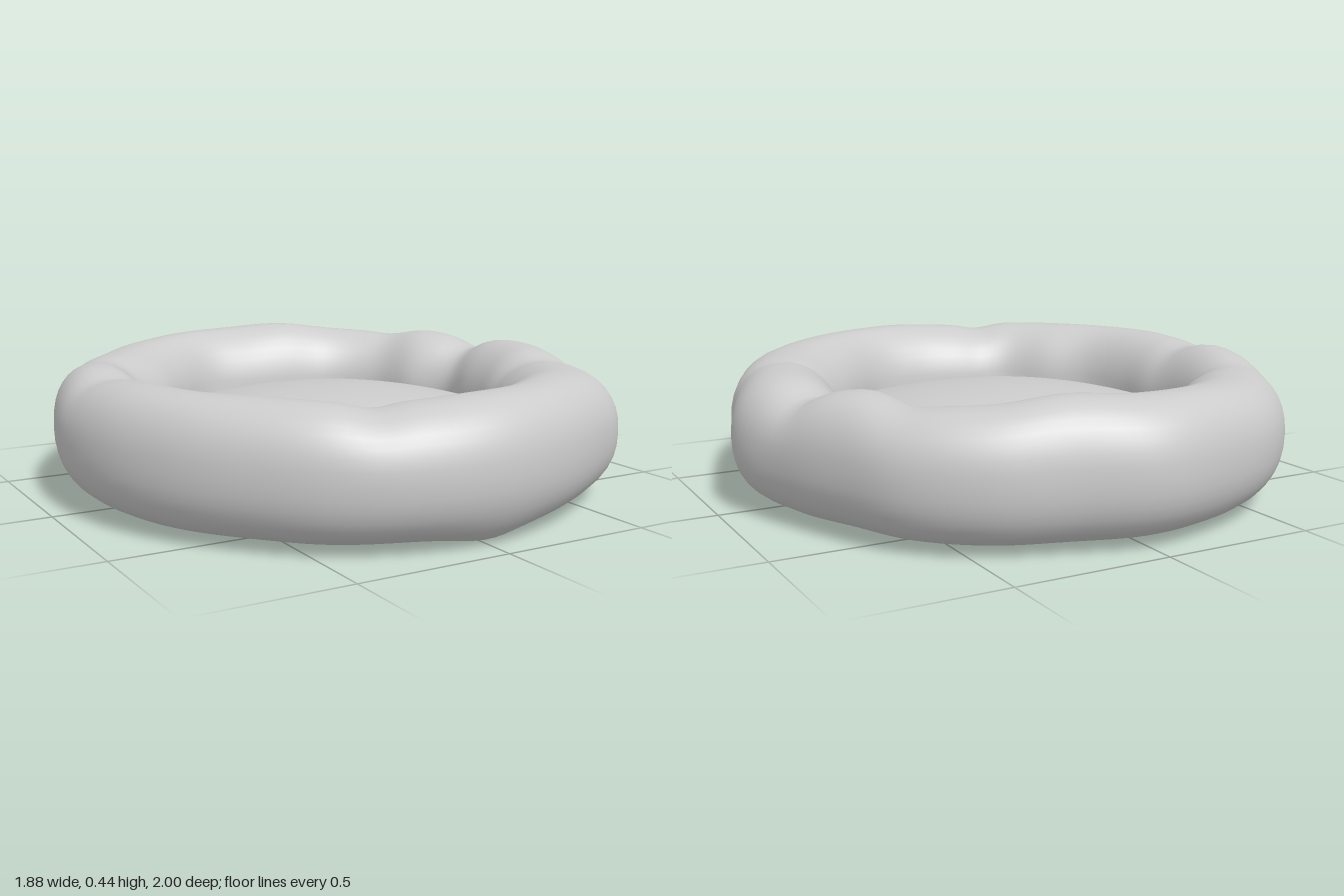
import * as THREE from 'three';

// Outline of the soft ring, sampled every 15 degrees from +x towards +z
const OUTER = [0.935, 0.905, 0.93, 0.972, 0.965, 0.975, 0.995, 0.993, 0.98, 0.955, 0.945, 0.943,
  0.94, 0.938, 0.95, 0.97, 0.987, 0.987, 1.0, 0.96, 0.968, 0.957, 0.915, 0.907];
const INNER = [0.56, 0.546, 0.545, 0.555, 0.59, 0.635, 0.635, 0.63, 0.655, 0.625, 0.64, 0.62,
  0.60, 0.62, 0.63, 0.59, 0.615, 0.65, 0.63, 0.627, 0.645, 0.63, 0.58, 0.61];
const TOP = [0.43, 0.43, 0.415, 0.42, 0.43, 0.43, 0.43, 0.42, 0.425, 0.43, 0.43, 0.43,
  0.42, 0.43, 0.415, 0.41, 0.42, 0.43, 0.435, 0.445, 0.42, 0.412, 0.43, 0.41];

// Folds pressed into the top of the ring: angle in degrees, width, depth
const FOLDS = [[25, 5, 0.015], [112, 5, 0.018], [184, 5, 0.015], [212, 6, 0.01], [318, 6, 0.01], [346, 5, 0.03]];

// Periodic Catmull-Rom sampling of a 24-value list
function sample(list, deg) {
  const n = list.length;
  const f = (deg / 360) * n;
  const i = Math.floor(f);
  const t = f - i;
  const [a, b, c, d] = [-1, 0, 1, 2].map((k) => list[(i + k + n) % n]);
  return b + 0.5 * t * (c - a + t * (2 * a - 5 * b + 4 * c - d + t * (3 * (b - c) + d - a)));
}

function bump(deg, centre, width) {
  const d = ((deg - centre + 540) % 360) - 180;
  return Math.exp(-((d / width) ** 2));
}

const power = (v, k) => Math.sign(v) * Math.abs(v) ** k;

// Lumpy padded ring: fuller on the outside, rounder on the inside
function ringGeometry(around = 144, sides = 36) {
  const positions = [];
  const index = [];
  for (let i = 0; i < around; i++) {
    const deg = (i / around) * 360;
    const angle = THREE.MathUtils.degToRad(deg);
    const outer = sample(OUTER, deg);
    const inner = sample(INNER, deg);
    const fold = FOLDS.reduce((s, [a, w, d]) => s + d * bump(deg, a, w), 0);
    const top = sample(TOP, deg) - fold;
    const sag = 0.025 * bump(deg, 89, 9);
    for (let j = 0; j < sides; j++) {
      const phi = (j / sides) * Math.PI * 2;
      const k = Math.cos(phi) > 0 ? 0.89 : 1.03;
      const u = power(Math.cos(phi), k);
      const v = power(Math.sin(phi), k);
      const below = Math.max(0, -v);
      let r = (outer + inner) / 2 + ((outer - inner) / 2) * u;
      // the lower inner edge settles into a clean circle
      if (u < 0) r = THREE.MathUtils.lerp(r, 0.78 + 0.18 * u, below);
      let y = 0.22 + v * (v > 0 ? top - 0.22 : 0.2);
      y = Math.max(y, 0.025) - sag * below ** 3;
      positions.push(r * Math.cos(angle), y, r * Math.sin(angle));
      const a = i * sides + j;
      const b = i * sides + ((j + 1) % sides);
      const c = ((i + 1) % around) * sides + j;
      const d = ((i + 1) % around) * sides + ((j + 1) % sides);
      index.push(a, b, c, b, d, c);
    }
  }
  const geometry = new THREE.BufferGeometry();
  geometry.setAttribute('position', new THREE.Float32BufferAttribute(positions, 3));
  geometry.setIndex(index);
  geometry.computeVertexNormals();
  return geometry;
}

export function createModel() {
  const group = new THREE.Group();
  const material = new THREE.MeshStandardMaterial({ color: 0xcccccc, side: THREE.DoubleSide });

  function add(name, geometry) {
    const mesh = new THREE.Mesh(geometry, material);
    mesh.name = name;
    group.add(mesh);
    return mesh;
  }

  add('paddedRing', ringGeometry());

  // Gently domed cushion, its rim tucked inside the ring
  const dome = [];
  for (let i = 0; i <= 14; i++) {
    const s = 1 - i / 14;
    dome.push(new THREE.Vector2(0.69 * s, 0.32 - 0.12 * s * s));
  }
  add('cushion', new THREE.LatheGeometry(dome, 64));

  // Flat base closing the underside
  const base = add('base', new THREE.CircleGeometry(0.66, 64).rotateX(Math.PI / 2));
  base.position.y = 0.06;

  return group;
}
